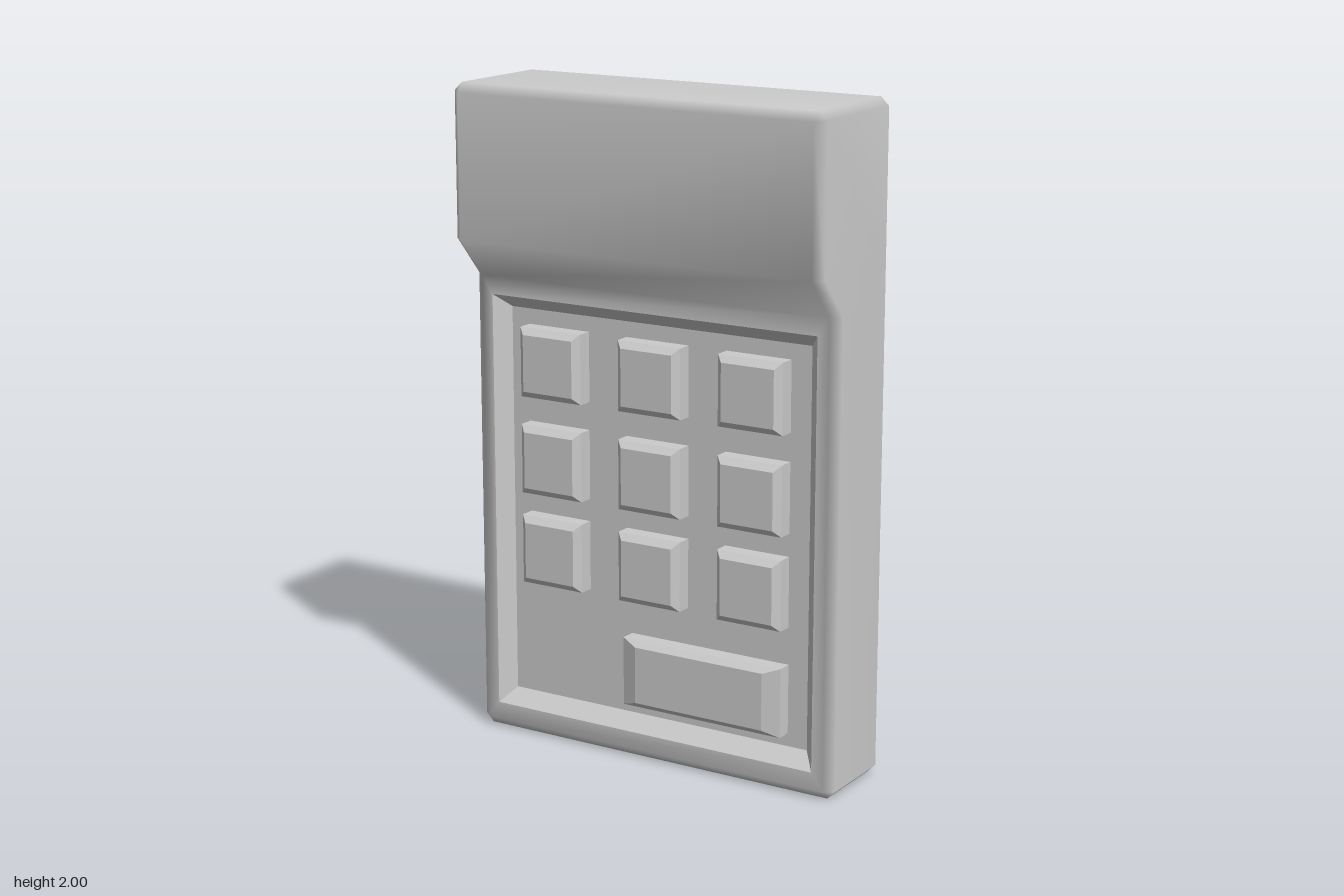
import * as THREE from 'three';

const BACK = -0.19, LOW = 0.085, HIGH = 0.19, FLOOR = 0.04;
const SLOPE_START = 1.42, SLOPE_END = 1.54, HALF_W = 0.615, BEVEL = 0.028;

const material = () => new THREE.MeshStandardMaterial({ color: 0xcccccc });
const flat = () => new THREE.MeshStandardMaterial({ color: 0xcccccc, flatShading: true });

// Depth of the front face at a given height
const frontZ = (y) => LOW + (HIGH - LOW) *
  THREE.MathUtils.clamp((y - SLOPE_START) / (SLOPE_END - SLOPE_START), 0, 1);

// Outline with chamfered corners, counter-clockwise seen from the front
function outline() {
  const w = HALF_W, c = 0.025;
  const right = [[w - c, 0], [w, c], [w, SLOPE_START], [w, SLOPE_END], [w, 2 - c], [w - c, 2]];
  return [...right, ...right.map(([x, y]) => [-x, y]).reverse()];
}

function rect(x0, x1, y0, y1, z) {
  return [[x0, y0, z], [x1, y0, z], [x1, y1, z], [x0, y1, z]];
}

function geometryFrom(points, index) {
  const g = new THREE.BufferGeometry();
  g.setAttribute('position', new THREE.Float32BufferAttribute(points.flat(), 3));
  g.setIndex(index);
  g.computeVertexNormals();
  return g;
}

const quad = (a, b, c, d) => [a, b, c, a, c, d];

// Joins two rings of n points starting at indices a and b
function band(a, b, n) {
  const index = [];
  for (let i = 0; i < n; i++) {
    const j = (i + 1) % n;
    index.push(...quad(a + i, a + j, b + j, b + i));
  }
  return index;
}

// Side walls, bevelled rim and stepped front around the keypad opening
function shellGeometry() {
  const ring = outline();
  const inset = HALF_W - BEVEL;
  const corners = [[inset, BEVEL], [inset, SLOPE_START], [inset, SLOPE_END], [inset, 2 - BEVEL]];
  const front = [...corners, ...corners.map(([x, y]) => [-x, y]).reverse()];
  const points = [
    ...ring.map(([x, y]) => [x, y, BACK]),
    ...ring.map(([x, y]) => [x, y, frontZ(y) - 0.025]),
    ...front.map(([x, y]) => [x, y, frontZ(y)]),
    ...rect(-0.55, 0.55, 0.08, 1.365, LOW),
  ];
  const index = band(0, 12, 12);
  // Each chamfered corner closes onto a single point of the front ring
  const map = [0, 0, 1, 2, 3, 3, 4, 4, 5, 6, 7, 7].map((i) => 24 + i);
  for (let i = 0; i < 12; i++) {
    const j = (i + 1) % 12;
    index.push(12 + i, 12 + j, map[j]);
    if (map[i] !== map[j]) index.push(12 + i, map[j], map[i]);
  }
  const F = 24, H = 32;
  index.push(...quad(F + 5, F + 2, F + 3, F + 4));
  index.push(...quad(F + 6, F + 1, F + 2, F + 5));
  const frame = [F + 7, F, F + 1, F + 6];
  for (let i = 0; i < 4; i++) {
    const j = (i + 1) % 4;
    index.push(...quad(frame[i], frame[j], H + j, H + i));
  }
  return geometryFrom(points, index);
}

// Sloping walls and floor of the keypad tray
function trayGeometry() {
  const points = [
    ...rect(-0.55, 0.55, 0.08, 1.365, LOW),
    ...rect(-0.51, 0.51, 0.125, 1.325, FLOOR),
  ];
  return geometryFrom(points, [...band(0, 4, 4), ...quad(4, 5, 6, 7)]);
}

// Key with upright sides and a chamfered top
function keyGeometry(w, h, insetX, insetY) {
  const d = 0.105 - FLOOR;
  const g = new THREE.BoxGeometry(w, h, d, 1, 1, 2);
  const p = g.attributes.position;
  for (let i = 0; i < p.count; i++) {
    const z = p.getZ(i);
    if (Math.abs(z) < 1e-5) p.setZ(i, d / 2 - 0.018);
    else if (z > 0) {
      p.setX(i, p.getX(i) - Math.sign(p.getX(i)) * insetX);
      p.setY(i, p.getY(i) - Math.sign(p.getY(i)) * insetY);
    }
  }
  g.translate(0, 0, FLOOR + d / 2);
  g.computeVertexNormals();
  return g;
}

export function createModel() {
  const model = new THREE.Group();
  const add = (name, geometry, mat, x = 0, y = 0, z = 0, parent = model) => {
    const mesh = new THREE.Mesh(geometry, mat);
    mesh.name = name;
    mesh.position.set(x, y, z);
    parent.add(mesh);
    return mesh;
  };

  add('bodyShell', shellGeometry(), material());
  add('keypadTray', trayGeometry(), flat());

  // Flat back panel
  const panel = new THREE.Shape(outline().map(([x, y]) => new THREE.Vector2(x, y)));
  const back = new THREE.ShapeGeometry(panel).rotateY(Math.PI);
  add('backPanel', back, material(), 0, 0, BACK);

  // Three by three keys and one wide key
  const keys = new THREE.Group();
  keys.name = 'keys';
  model.add(keys);
  const keyShape = keyGeometry(0.212, 0.212, 0.02, 0.02);
  for (const y of [1.172, 0.875, 0.594]) {
    for (const x of [-0.343, 0, 0.338]) add('key', keyShape, flat(), x, y, 0, keys);
  }
  add('wideKey', keyGeometry(0.536, 0.21, 0.052, 0.018), flat(), 0.178, 0.27, 0, keys);

  return model;
}
